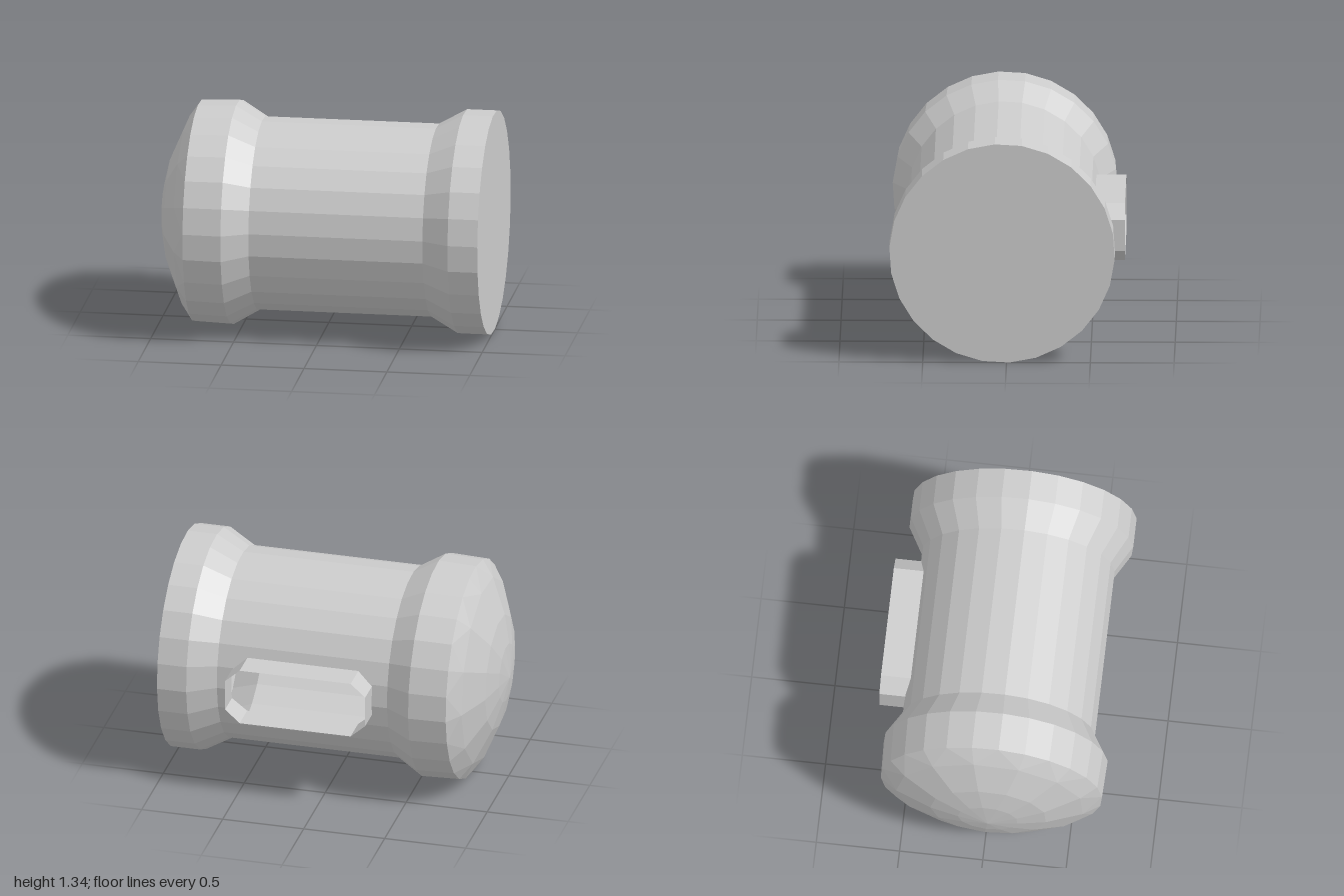
import * as THREE from 'three';

const SIDES = 26, CY = 0.673, CZ = 0.027, R_BODY = 0.58;
const START = THREE.MathUtils.degToRad(3.2);
const X0 = -0.395, X1 = 0.655; // straight barrel section
const SLOT = { left: -0.3, right: 0.565, mid: 0.675, half: 0.175, flat: 0.095, cut: 0.09, rim: -0.7 };

// Point on the barrel: k counts facets, starting at the front and going up
function ringPoint(x, r, k) {
  const a = START + (k * 2 * Math.PI) / SIDES;
  return [x, CY + r * Math.sin(a), CZ + r * Math.cos(a)];
}

function builder() {
  const pos = [];
  const tri = (a, b, c) => pos.push(...a, ...b, ...c);
  const quad = (a, b, c, d) => { tri(a, b, c); tri(a, c, d); };
  const mesh = (name, material) => {
    const g = new THREE.BufferGeometry();
    g.setAttribute('position', new THREE.Float32BufferAttribute(pos, 3));
    g.computeVertexNormals();
    const m = new THREE.Mesh(g, material);
    m.name = name;
    return m;
  };
  return { tri, quad, mesh };
}

// Band of facets between two rings; step 2 halves the number of sides
function band(b, xa, ra, xb, rb, step = 1, offset = 0, from = 0, to = SIDES) {
  for (let k = from; k < to; k += step) {
    const p = k + offset, q = p + step;
    b.quad(ringPoint(xa, ra, p), ringPoint(xb, rb, p), ringPoint(xb, rb, q), ringPoint(xa, ra, q));
  }
}

export function createModel() {
  const group = new THREE.Group();
  const grey = new THREE.MeshStandardMaterial({ color: 0xcccccc, flatShading: true, side: THREE.DoubleSide });
  grey.name = 'light grey';

  // Flared rims at both ends of the barrel
  const foot = builder();
  band(foot, X1, R_BODY, 0.82, 0.673);
  band(foot, 0.82, 0.673, 1, 0.673);
  group.add(foot.mesh('endRim', grey));

  const head = builder();
  band(head, -0.55, 0.673, X0, R_BODY);
  band(head, -0.78, 0.665, -0.55, 0.673);
  group.add(head.mesh('headRim', grey));

  // Flat end
  const cap = builder();
  for (let k = 0; k < SIDES; k++) {
    cap.tri([1, CY, CZ], ringPoint(1, 0.673, k + 1), ringPoint(1, 0.673, k));
  }
  group.add(cap.mesh('endCap', grey));

  // Coarser dome: halve the sides, then close towards the tip
  const dome = builder();
  for (let k = 0; k < SIDES; k += 2) {
    const [a, b, c] = [0, 1, 2].map((i) => ringPoint(-0.78, 0.665, k + i));
    const p = ringPoint(-0.85, 0.565, k + 1), q = ringPoint(-0.85, 0.565, k + 3);
    dome.tri(a, b, p);
    dome.tri(b, c, p);
    dome.tri(c, q, p);
    dome.tri(ringPoint(-0.98, 0.18, k + 1), ringPoint(-0.98, 0.18, k + 3), [-1, CY - 0.03, CZ]);
  }
  band(dome, -0.94, 0.35, -0.85, 0.565, 2, 1);
  band(dome, -0.98, 0.18, -0.94, 0.35, 2, 1);
  group.add(dome.mesh('dome', grey));

  // Barrel, with the facets at the back cut around the slot
  const BACK = 11, BACK_END = 15;
  const barrel = builder(), collar = builder();
  band(barrel, X0, R_BODY, X1, R_BODY, 1, 0, 0, BACK);
  band(barrel, X0, R_BODY, X1, R_BODY, 1, 0, BACK_END, SIDES);

  const backRow = []; // [y, z] down the back, at facet edges and slot corners
  const cuts = [SLOT.half, SLOT.flat, -SLOT.flat, -SLOT.half].map((d) => SLOT.mid + d);
  for (let k = BACK; k < BACK_END; k++) {
    const [, ya, za] = ringPoint(0, R_BODY, k), [, yb, zb] = ringPoint(0, R_BODY, k + 1);
    backRow.push([ya, za]);
    for (const y of cuts) {
      if (y < ya && y > yb) backRow.push([y, za + ((zb - za) * (ya - y)) / (ya - yb)]);
    }
  }
  backRow.push(ringPoint(0, R_BODY, BACK_END).slice(1));

  // Ends of the slot at a given height, with chamfered corners
  const slotEnds = (y) => {
    const t = (Math.abs(y - SLOT.mid) - SLOT.flat) / (SLOT.half - SLOT.flat);
    const c = SLOT.cut * Math.min(1, Math.max(0, t));
    return [SLOT.left + c, SLOT.right - c];
  };
  const rim = (x, y) => [x, y, SLOT.rim];

  for (let i = 0; i < backRow.length - 1; i++) {
    const A = backRow[i], B = backRow[i + 1];
    const patch = (la, ra, lb, rb) => barrel.quad([la, ...A], [ra, ...A], [rb, ...B], [lb, ...B]);
    if (Math.abs((A[0] + B[0]) / 2 - SLOT.mid) > SLOT.half) {
      patch(X0, X1, X0, X1);
      continue;
    }
    const [la, ra] = slotEnds(A[0]), [lb, rb] = slotEnds(B[0]);
    patch(X0, la, X0, lb);
    patch(ra, X1, rb, X1);
    // Collar end walls
    collar.quad([la, ...A], rim(la, A[0]), rim(lb, B[0]), [lb, ...B]);
    collar.quad([rb, ...B], rim(rb, B[0]), rim(ra, A[0]), [ra, ...A]);
  }

  // Collar long walls, above and below
  for (const [y, z] of backRow) {
    if (Math.abs(Math.abs(y - SLOT.mid) - SLOT.half) > 1e-6) continue;
    const [l, r] = slotEnds(y);
    const wall = [[l, y, z], [r, y, z], rim(r, y), rim(l, y)];
    collar.quad(...(y > SLOT.mid ? wall : wall.reverse()));
  }
  group.add(barrel.mesh('barrel', grey), collar.mesh('slotCollar', grey));
  return group;
}
